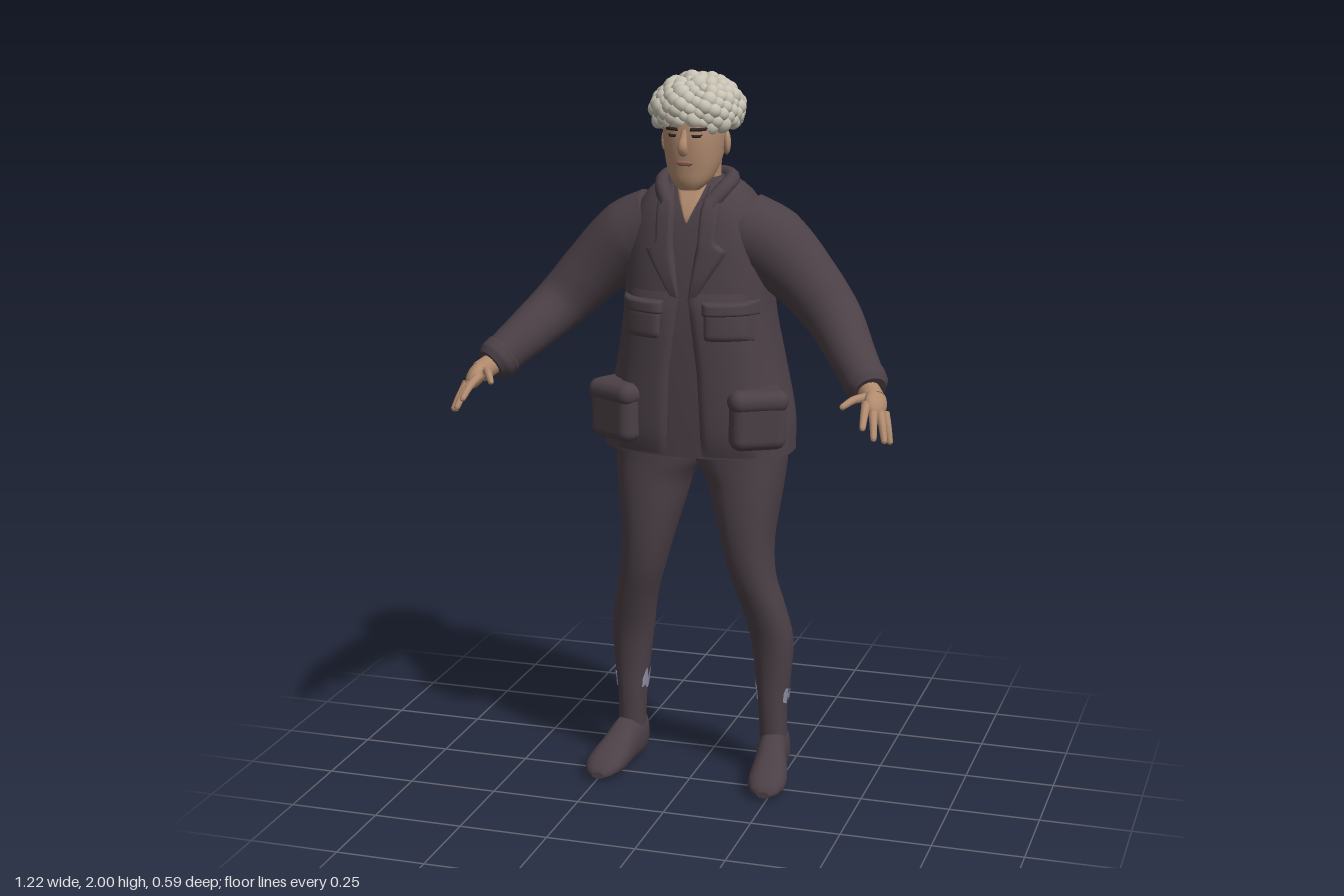
import * as THREE from 'three';
import { RoundedBoxGeometry } from 'three/addons/geometries/RoundedBoxGeometry.js';
import { mergeGeometries } from 'three/addons/utils/BufferGeometryUtils.js';

const mat = (name, color, side = THREE.FrontSide) => {
  const m = new THREE.MeshStandardMaterial({ color, side });
  m.name = name;
  return m;
};

// Build an indexed surface from vertices and triangles
function surface(pos, idx) {
  const g = new THREE.BufferGeometry();
  g.setAttribute('position', new THREE.Float32BufferAttribute(pos, 3));
  g.setIndex(idx);
  g.computeVertexNormals();
  return g;
}

// Skin a list of rings, with separate flat caps
function loft(rings, caps = true) {
  const pos = [], idx = [], n = rings[0].length;
  rings.forEach(r => r.forEach(p => pos.push(p.x, p.y, p.z)));
  for (let i = 0; i < rings.length - 1; i++) for (let j = 0; j < n; j++) {
    const a = i * n + j, b = i * n + (j + 1) % n;
    idx.push(a, a + n, b, b, a + n, b + n);
  }
  if (caps) [rings[0], rings[rings.length - 1]].forEach((r, end) => {
    const s = pos.length / 3, c = new THREE.Vector3();
    r.forEach(p => { pos.push(p.x, p.y, p.z); c.addScaledVector(p, 1 / n); });
    pos.push(c.x, c.y, c.z);
    for (let j = 0; j < n; j++) {
      const k = s + (j + 1) % n;
      end ? idx.push(s + n, k, s + j) : idx.push(s + n, s + j, k);
    }
  });
  return surface(pos, idx);
}

// Upright body described by rows of [y, xMin, xMax, zFront, zBack]
function makeBody(rows, power) {
  const curve = new THREE.CubicInterpolant(rows.map(r => r[0]), rows.flatMap(r => r.slice(1)), 4, new Float32Array(4));
  const at = y => Array.from(curve.evaluate(y));
  const bend = v => Math.sign(v) * Math.abs(v) ** (2 / power);
  const point = (y, a, grow = 0) => {
    const [x0, x1, zf, zb] = at(y);
    return new THREE.Vector3((x0 + x1) / 2 + ((x1 - x0) / 2 + grow) * bend(Math.cos(a)), y,
      (zf + zb) / 2 + ((zf - zb) / 2 + grow) * bend(Math.sin(a)));
  };
  const frontZ = (x, y) => {
    const [x0, x1, zf, zb] = at(y);
    const t = Math.min(1, Math.abs((x - (x0 + x1) / 2) / ((x1 - x0) / 2)));
    return (zf + zb) / 2 + (zf - zb) / 2 * (1 - t ** power) ** (1 / power);
  };
  const geometry = (steps, n) => {
    const lo = rows[0][0], hi = rows[rows.length - 1][0];
    return loft(Array.from({ length: steps + 1 }, (_, i) => Array.from({ length: n },
      (_, j) => point(lo + (hi - lo) * i / steps, j / n * Math.PI * 2))));
  };
  return { point, frontZ, geometry };
}

// Raised piece that hugs the front of a body; rows of [y, xLeft, xRight]
function panel(body, rows, lift, nu = 14, nv = 16) {
  const pos = [], idx = [];
  for (let i = 0; i <= nv; i++) {
    const f = i / nv * (rows.length - 1), k = Math.min(Math.floor(f), rows.length - 2);
    const [y, x0, x1] = rows[k].map((v, m) => v + (rows[k + 1][m] - v) * (f - k));
    for (let j = 0; j <= nu; j++) {
      const u = j / nu, x = x0 + (x1 - x0) * u;
      const puff = (1 - Math.abs(2 * u - 1) ** 8) * (1 - Math.abs(2 * i / nv - 1) ** 8);
      pos.push(x, y, body.frontZ(x, y) + 0.001 + lift * puff);
      const a = i * (nu + 1) + j, c = a + nu + 1;
      if (i < nv && j < nu) idx.push(a, a + 1, c, a + 1, c + 1, c);
    }
  }
  return surface(pos, idx);
}

// Round limb through points of [x, y, z, radius]
function limb(pts, steps, n) {
  const curve = new THREE.CatmullRomCurve3(pts.map(p => new THREE.Vector3(p[0], p[1], p[2])));
  const rings = [];
  for (let i = 0; i <= steps; i++) {
    const f = i / steps * (pts.length - 1), k = Math.min(Math.floor(f), pts.length - 2);
    const r = THREE.MathUtils.lerp(pts[k][3], pts[k + 1][3], f - k);
    const p = curve.getPoint(i / steps), t = curve.getTangent(i / steps);
    const u = new THREE.Vector3(1, 0, 0).cross(t).normalize(), v = u.clone().cross(t);
    rings.push(Array.from({ length: n }, (_, j) => {
      const a = j / n * Math.PI * 2;
      return p.clone().addScaledVector(u, r * Math.cos(a)).addScaledVector(v, r * Math.sin(a));
    }));
  }
  return loft(rings);
}

// Copy to the other side, restoring the corner order
function mirrored(g) {
  const m = (g.index ? g.toNonIndexed() : g.clone()).scale(-1, 1, 1);
  for (const { array, count, itemSize: s } of Object.values(m.attributes)) {
    for (let i = 0; i < count; i += 3) for (let k = 0; k < s; k++) {
      const b = (i + 1) * s + k, c = (i + 2) * s + k;
      [array[b], array[c]] = [array[c], array[b]];
    }
  }
  return m;
}

export function createModel() {
  const model = new THREE.Group();
  const cloth = mat('dark cloth', 0x4b4046), skin = mat('skin', 0xb08a6e), hair = mat('grey hair', 0xc8c3b4);
  const sock = mat('ankle grey', 0x8f8fa6, THREE.DoubleSide), dark = mat('brow dark', 0x2e2420), lip = mat('lips', 0x94655a);
  const add = (name, g, m) => {
    const o = new THREE.Mesh(g, m);
    o.name = name;
    model.add(o);
  };
  const pair = (name, g, m) => { add(name + 'Left', g, m); add(name + 'Right', mirrored(g), m); };
  let seed = 7;
  const rand = () => (seed = (seed * 16807) % 2147483647) / 2147483647;

  // Jacket
  const torso = makeBody([
    [0.962, -0.268, 0.268, 0.055, -0.262], [1.05, -0.264, 0.264, 0.06, -0.285], [1.2, -0.233, 0.233, 0.065, -0.298],
    [1.35, -0.208, 0.208, 0.065, -0.27], [1.47, -0.2, 0.2, 0.055, -0.255], [1.57, -0.19, 0.19, 0.04, -0.25],
    [1.64, -0.165, 0.165, 0.02, -0.232], [1.69, -0.128, 0.128, -0.01, -0.195], [1.72, -0.085, 0.085, -0.03, -0.155]], 2.5);
  add('jacketBody', torso.geometry(34, 48), cloth);
  pair('jacketFront', panel(torso, [[0.968, 0.05, 0.2], [1.2, 0.04, 0.19], [1.42, 0.012, 0.17]], 0.012), cloth);
  pair('lapel', panel(torso, [[1.4, 0.012, 0.03], [1.53, 0.03, 0.115], [1.555, 0.034, 0.085], [1.64, 0.036, 0.09], [1.7, 0.05, 0.085]], 0.016), cloth);
  pair('chestPocket', panel(torso, [[1.29, 0.055, 0.185], [1.38, 0.055, 0.185]], 0.022), cloth);
  pair('chestPocketFlap', panel(torso, [[1.36, 0.05, 0.192], [1.4, 0.05, 0.192]], 0.03), cloth);
  const hip = (w, h, d, y) => new RoundedBoxGeometry(w, h, d, 4, 0.03).rotateY(0.5).translate(0.192, y, 0.015);
  pair('hipPocket', hip(0.155, 0.15, 0.11, 1.07), cloth);
  pair('hipPocketFlap', hip(0.165, 0.062, 0.122, 1.13), cloth);
  const collarPath = new THREE.CatmullRomCurve3([[0.055, 1.65, 0.015], [0.085, 1.69, -0.03], [0.092, 1.71, -0.09], [0.06, 1.715, -0.145],
    [0, 1.715, -0.16], [-0.06, 1.715, -0.145], [-0.092, 1.71, -0.09], [-0.085, 1.69, -0.03], [-0.055, 1.65, 0.015]].map(p => new THREE.Vector3(...p)));
  add('collar', new THREE.TubeGeometry(collarPath, 48, 0.022, 10), cloth);

  // Sleeves and cuffs
  pair('sleeve', limb([[0.12, 1.575, -0.1, 0.105], [0.2, 1.535, -0.1, 0.107], [0.3, 1.445, -0.09, 0.09], [0.385, 1.355, -0.06, 0.077],
    [0.46, 1.275, 0.035, 0.064], [0.515, 1.218, 0.105, 0.055]], 30, 24), cloth);
  pair('cuff', limb([[0.497, 1.236, 0.085, 0.05], [0.505, 1.228, 0.093, 0.06], [0.52, 1.213, 0.112, 0.058], [0.53, 1.203, 0.125, 0.046]], 12, 24), cloth);

  // Hands: palm, four fingers and a thumb
  const fingers = [
    [[0.538, 1.185, 0.2], [0.55, 1.14, 0.295]], [[0.556, 1.172, 0.2], [0.576, 1.108, 0.275]],
    [[0.572, 1.163, 0.19], [0.598, 1.095, 0.243]], [[0.582, 1.16, 0.175], [0.606, 1.085, 0.21]],
    [[0.53, 1.195, 0.165], [0.481, 1.183, 0.25]]].map(([a, b]) => {
    const mid = a.map((v, i) => (v + b[i]) / 2 + (i === 1 ? 0.007 : 0));
    const tip = b.map((v, i) => v + (a[i] - v) * 0.06);
    return limb([[...a, 0.013], [...mid, 0.0105], [...tip, 0.008], [...b, 0.002]], 9, 10);
  });
  const palm = new THREE.SphereGeometry(1, 18, 14).scale(0.024, 0.036, 0.052);
  palm.deleteAttribute('uv');
  palm.rotateZ(0.55).rotateX(0.35).translate(0.556, 1.182, 0.17);
  const wrist = limb([[0.515, 1.215, 0.11, 0.03], [0.55, 1.188, 0.16, 0.03]], 4, 14);
  pair('hand', mergeGeometries([palm, wrist, ...fingers]), skin);

  // Trouser legs
  const leg = makeBody([
    [0.1, 0.175, 0.25, -0.08, -0.172], [0.2, 0.17, 0.25, -0.075, -0.175], [0.3, 0.16, 0.26, -0.072, -0.186],
    [0.4, 0.148, 0.264, -0.058, -0.196], [0.5, 0.13, 0.247, -0.03, -0.172], [0.6, 0.1, 0.223, -0.002, -0.158],
    [0.7, 0.073, 0.217, 0.012, -0.182], [0.8, 0.045, 0.228, 0.015, -0.215], [0.88, 0.022, 0.238, 0.012, -0.238],
    [0.93, -0.012, 0.243, 0.01, -0.246], [1.0, -0.02, 0.245, 0.01, -0.25]], 2.25);
  pair('trouserLeg', leg.geometry(36, 28), cloth);

  // Ragged pale bands at the ankles
  const N = 40, low = [], high = [];
  for (let j = 0; j < N; j++) {
    const a = j / N * Math.PI * 2, bare = Math.sin(a) > 0.55 || rand() < 0.1;
    const y = 0.21 + rand() * 0.02;
    low.push(leg.point(y, a, bare ? -0.004 : 0.003));
    high.push(leg.point(y + (bare ? 0.01 : 0.012 + rand() * 0.045), a, bare ? -0.004 : 0.003));
  }
  pair('anklePatch', loft([low, high], false), sock);

  // Shoes: cross-sections from toe to heel, [z, centre x, half width, height]
  const shoe = [[0.1, 0.243, 0.018, 0.028], [0.09, 0.242, 0.038, 0.046], [0.06, 0.24, 0.052, 0.064], [0.02, 0.236, 0.055, 0.08],
    [-0.03, 0.229, 0.05, 0.1], [-0.07, 0.221, 0.045, 0.126], [-0.11, 0.215, 0.043, 0.138], [-0.15, 0.213, 0.043, 0.138],
    [-0.178, 0.213, 0.036, 0.13], [-0.19, 0.213, 0.018, 0.11]];
  pair('shoe', loft(shoe.map(([z, cx, w, h]) => Array.from({ length: 24 }, (_, j) => {
    const a = j / 24 * Math.PI * 2, c = Math.cos(a), s = Math.sin(a), base = Math.max(0, z) * 0.1;
    return new THREE.Vector3(cx + w * Math.sign(c) * Math.abs(c) ** 0.75 * (s > 0 ? 1 - 0.15 * s : 1),
      base + (h - base) / 2 * (1 + Math.sign(s) * Math.abs(s) ** 0.8), z);
  }))), cloth);

  // Head, neck and ears
  const head = makeBody([[1.692, -0.028, 0.028, 0.03, -0.03], [1.71, -0.048, 0.048, 0.04, -0.07], [1.75, -0.068, 0.068, 0.047, -0.115],
    [1.8, -0.079, 0.079, 0.054, -0.15], [1.85, -0.084, 0.084, 0.055, -0.166], [1.9, -0.082, 0.082, 0.045, -0.165],
    [1.95, -0.05, 0.05, 0, -0.13]], 2.2);
  add('head', head.geometry(26, 36), skin);
  add('neck', limb([[0, 1.58, -0.085, 0.07], [0, 1.7, -0.08, 0.062], [0, 1.78, -0.075, 0.065]], 10, 24), skin);
  add('openCollarSkin', panel(torso, [[1.605, -0.002, 0.002], [1.66, -0.026, 0.026], [1.712, -0.045, 0.045]], 0.006), skin);
  add('nose', limb([[0, 1.856, 0.05, 0.007], [0, 1.835, 0.057, 0.01], [0, 1.812, 0.066, 0.014], [0, 1.797, 0.058, 0.013], [0, 1.793, 0.05, 0.004]], 14, 14), skin);
  pair('ear', new THREE.SphereGeometry(1, 14, 12).scale(0.011, 0.033, 0.022).rotateY(0.3).translate(0.084, 1.812, -0.065), skin);

  // Face details
  pair('brow', panel(head, [[1.853, 0.016, 0.055], [1.862, 0.018, 0.06]], 0.004, 8, 4), dark);
  pair('eye', panel(head, [[1.836, 0.024, 0.043], [1.844, 0.02, 0.048]], 0.003, 8, 4), dark);
  add('mouth', panel(head, [[1.76, -0.014, 0.014], [1.767, -0.026, 0.026], [1.774, -0.014, 0.014]], 0.005, 10, 6), lip);

  // Curly hair: lumps spread over a dome
  const curls = [new THREE.SphereGeometry(1, 24, 16).toNonIndexed().scale(0.108, 0.077, 0.122).translate(0, 1.898, -0.08)];
  for (let i = 0; i < 150; i++) {
    const up = 1 - 1.48 * (i + 0.5) / 150, ring = Math.sqrt(1 - up * up), a = i * 2.39996;
    const r = 0.017 + rand() * 0.009;
    const curl = new THREE.IcosahedronGeometry(r, 2).scale(1, 0.9 + rand() * 0.2, 0.85 + rand() * 0.3);
    curl.rotateX(rand() * 3).rotateY(rand() * 3);
    curls.push(curl.translate(0.108 * ring * Math.cos(a), 1.898 + 0.078 * up, -0.08 + 0.122 * ring * Math.sin(a)));
  }
  add('curlyHair', mergeGeometries(curls), hair);
  return model;
}
